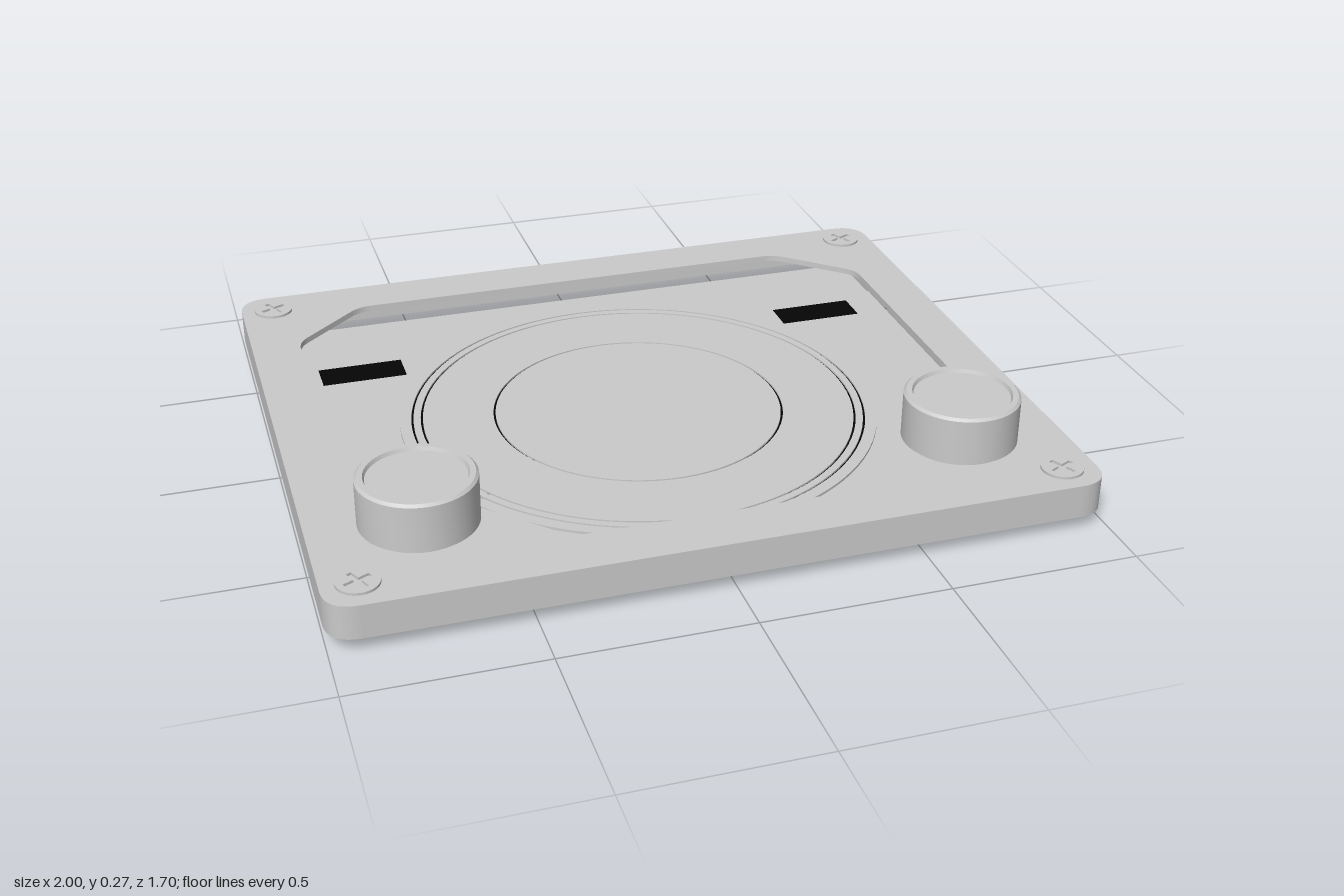
import * as THREE from 'three';
import { toCreasedNormals } from 'three/addons/utils/BufferGeometryUtils.js';

const grey = new THREE.MeshStandardMaterial({ color: 0xcacaca });
grey.name = 'lightGrey';
const black = new THREE.MeshStandardMaterial({ color: 0x050505 });
black.name = 'black';

// Closed outline through [x, z] points with rounded corners (shape y = -z)
function outline(points, r, Type = THREE.Shape) {
  const path = new Type();
  const p = points.map(([x, z]) => new THREE.Vector2(x, -z));
  p.forEach((c, i) => {
    const prev = p[(i + p.length - 1) % p.length];
    const next = p[(i + 1) % p.length];
    const a = c.clone().add(prev.clone().sub(c).setLength(r));
    const b = c.clone().add(next.clone().sub(c).setLength(r));
    if (i === 0) path.moveTo(a.x, a.y); else path.lineTo(a.x, a.y);
    path.quadraticCurveTo(c.x, c.y, b.x, b.y);
  });
  path.closePath();
  return path;
}

const rect = (x, z) => [[-x, z], [x, z], [x, -z], [-x, -z]];

// Flat slab between heights y0 and y1
function slab(name, shape, y0, y1, material = grey) {
  let g = new THREE.ExtrudeGeometry(shape, { depth: y1 - y0, bevelEnabled: false, curveSegments: 48 });
  g = toCreasedNormals(g.rotateX(-Math.PI / 2), 0.6);
  const mesh = new THREE.Mesh(g, material);
  mesh.position.y = y0;
  mesh.name = name;
  return mesh;
}

// Flat ring, or a full disc when the inner radius is 0
function ring(name, inner, outer, y0, y1, material = grey) {
  const s = new THREE.Shape().absarc(0, 0, outer, 0, Math.PI * 2);
  if (inner > 0) s.holes.push(new THREE.Path().absarc(0, 0, inner, 0, Math.PI * 2, true));
  return slab(name, s, y0, y1, material);
}

function lathe(name, profile) {
  const g = new THREE.LatheGeometry(profile.map(([r, y]) => new THREE.Vector2(r, y)), 48);
  const mesh = new THREE.Mesh(toCreasedNormals(g, 0.6), grey);
  mesh.name = name;
  return mesh;
}

function makeKnob() {
  return lathe('knob', [[0, 0], [0.14, 0], [0.14, 0.01], [0.152, 0.01], [0.152, 0.133],
    [0.145, 0.14], [0.13, 0.14], [0.126, 0.13], [0, 0.13]]);
}

// Screw head with a cross recess
function makeScrew() {
  const screw = new THREE.Group();
  screw.name = 'screw';
  const head = new THREE.Shape().absarc(0, 0, 0.055, 0, Math.PI * 2);
  const cross = new THREE.Path();
  const w = 0.007, l = 0.037;
  for (let i = 0; i < 4; i++) {
    const a = -i * Math.PI / 2 + 0.45;
    [[l, w], [l, -w], [w, -w]].forEach(([x, y], k) => {
      const px = x * Math.cos(a) - y * Math.sin(a);
      const py = x * Math.sin(a) + y * Math.cos(a);
      if (i + k === 0) cross.moveTo(px, py); else cross.lineTo(px, py);
    });
  }
  cross.closePath();
  head.holes.push(cross);
  screw.add(slab('screwHead', head, 0, 0.008), ring('screwCore', 0, 0.052, -0.01, 0.001));
  return screw;
}

export function createModel() {
  const model = new THREE.Group();
  model.name = 'turntablePanel';

  // Hollow cover: top sheet with an eight-sided opening, and a thin skirt
  const opening = [[-0.865, -0.525], [-0.865, 0.2], [-0.375, 0.705], [0.375, 0.705],
    [0.865, 0.2], [0.865, -0.525], [0.66, -0.71], [-0.66, -0.71]];
  const top = outline(rect(1, 0.85), 0.085);
  top.holes.push(outline(opening, 0.04, THREE.Path));
  const skirt = outline(rect(1, 0.85), 0.085);
  skirt.holes.push(outline(rect(0.965, 0.815), 0.06, THREE.Path));
  model.add(slab('coverTop', top, 0.115, 0.132), slab('coverSkirt', skirt, 0.04, 0.115));

  // Deck below the opening, black underneath
  model.add(slab('deckUnderside', outline(rect(0.915, 0.755), 0.01), 0.037, 0.041, black));
  model.add(slab('deck', outline(rect(0.915, 0.755), 0.01), 0.041, 0.046));

  // Raised deck with a straight rear edge that bulges around the platter
  const a = Math.asin(0.535 / 0.672);
  const raised = new THREE.Shape();
  raised.moveTo(-0.915, -0.755);
  raised.lineTo(0.915, -0.755);
  raised.lineTo(0.915, 0.535);
  raised.absarc(0, 0, 0.672, a, Math.PI - a);
  raised.lineTo(-0.915, 0.535);
  raised.closePath();
  model.add(slab('raisedDeck', raised, 0.046, 0.051));

  // Platter: grey rings separated by narrow dark grooves
  model.add(ring('platterGrooves', 0, 0.659, 0.05, 0.053, black));
  [[0.63, 0.662], [0.604, 0.624], [0.403, 0.598], [0, 0.397]].forEach(([r0, r1]) =>
    model.add(ring('platterRing', r0, r1, 0.05, 0.058)));

  // Underside of the platter: black drum with grey rings
  model.add(ring('drumUnderside', 0, 0.65, 0.005, 0.038, black));
  model.add(lathe('drumWall', [[0.65, 0], [0.655, 0], [0.662, 0.01], [0.662, 0.04]]));
  [[0.642, 0.655], [0.622, 0.636], [0.602, 0.616], [0.385, 0.41]].forEach(([r0, r1]) =>
    model.add(ring('undersideRing', r0, r1, 0, 0.006)));

  // Mirrored vents, knobs and screws
  for (const side of [-1, 1]) {
    const vent = new THREE.Mesh(new THREE.BoxGeometry(0.24, 0.019, 0.095), black);
    vent.name = 'vent';
    vent.position.set(side * 0.7, 0.0435, -0.44);
    model.add(vent);

    const knob = makeKnob();
    knob.position.set(side * 0.72, 0.131, 0.535);
    model.add(knob);

    for (const z of [-0.76, 0.755]) {
      const screw = makeScrew();
      screw.position.set(side * 0.908, 0.131, z);
      model.add(screw);
    }
  }
  return model;
}
